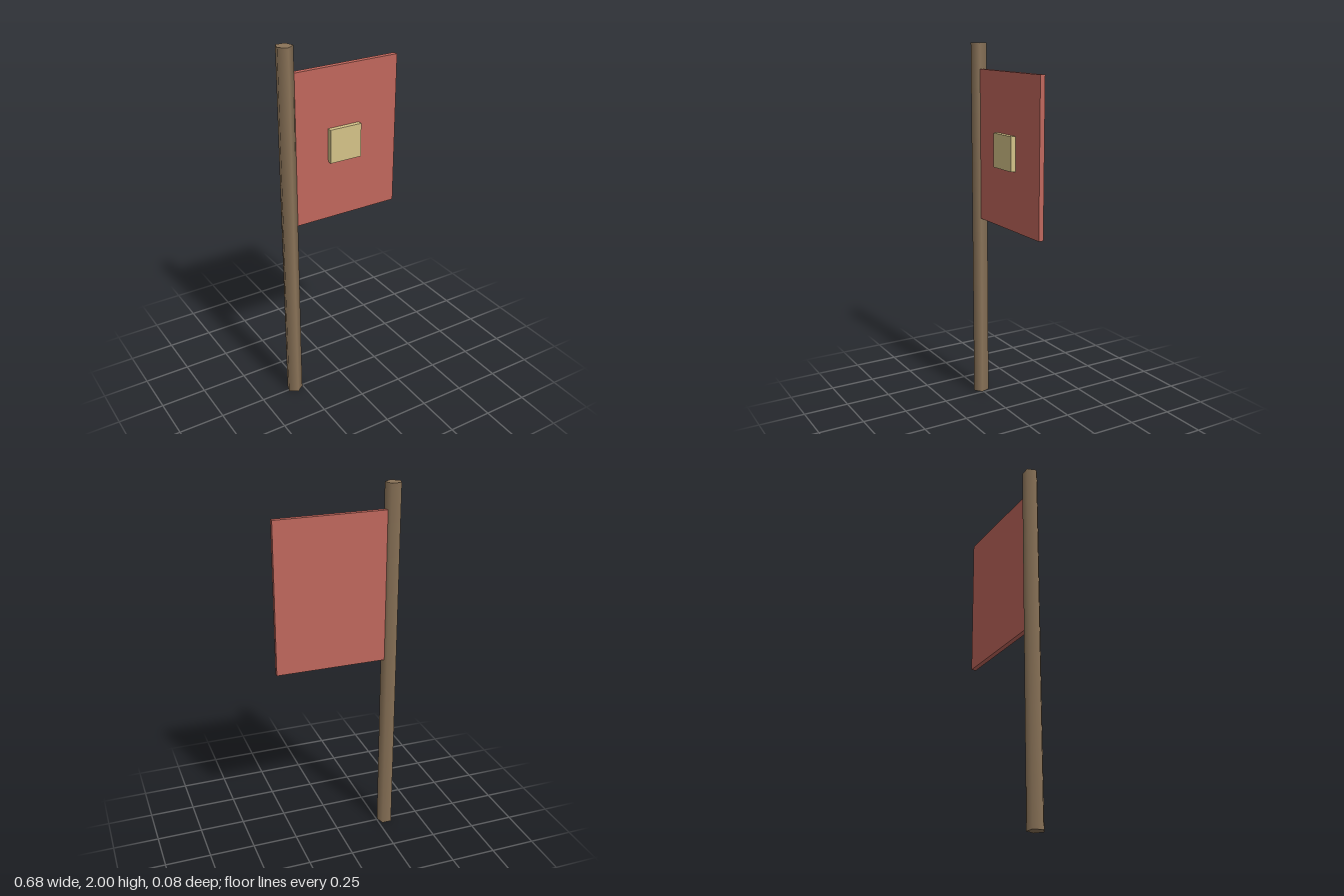
import * as THREE from 'three';

export function createModel() {
  const group = new THREE.Group();

  const add = (name, geometry, color, x, y, z) => {
    const mesh = new THREE.Mesh(geometry, new THREE.MeshStandardMaterial({ color }));
    mesh.name = name;
    mesh.position.set(x, y, z);
    group.add(mesh);
  };

  // Five-sided pole with one corner facing the front
  add('pole', new THREE.CylinderGeometry(0.045, 0.045, 2, 5), 0x8a7358, -0.297, 1, -0.005);

  // Banner panel, its inner edge sunk into the pole's axis
  add('banner', new THREE.BoxGeometry(0.635, 0.818, 0.027), 0xc0675c, 0.0205, 1.455, -0.0055);

  // Square plate on the middle of the banner's front
  add('emblemPlate', new THREE.BoxGeometry(0.181, 0.181, 0.027), 0xd4c288, 0.021, 1.455, 0.0205);

  return group;
}
